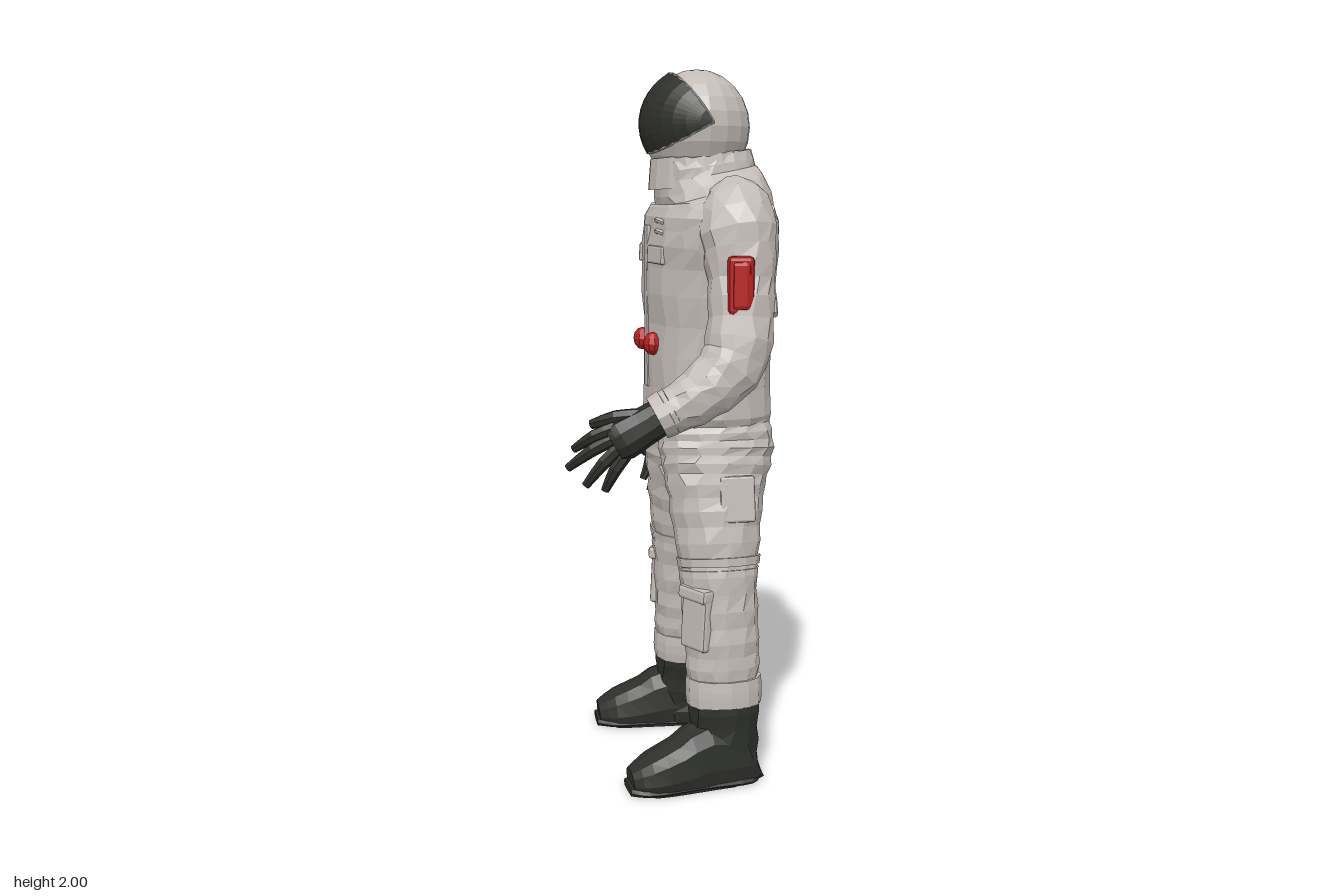
import * as THREE from 'three';
import { RoundedBoxGeometry } from 'three/addons/geometries/RoundedBoxGeometry.js';

const mat = (color) => new THREE.MeshStandardMaterial({ color, flatShading: true, side: THREE.DoubleSide });
const V = (x, y, z) => new THREE.Vector3(x, y, z);
const hash = (i, j) => { const s = Math.sin(i * 127.1 + j * 311.7) * 43758.5453; return s - Math.floor(s) - 0.5; };

// Skin over cross-sections [x, y, z, a, b], smoothly interpolated along the rows
function loft(rows, { n = 12, sides = 12, ref = V(0, 0, 1), power = 1, wrinkle = 0, floor = -1 } = {}) {
  const path = new THREE.CatmullRomCurve3(rows.map((r) => V(r[0], r[1], r[2])), false, 'catmullrom');
  const size = new THREE.CatmullRomCurve3(rows.map((r) => V(r[3], r[4], 0)), false, 'catmullrom');
  const pos = [], idx = [];
  for (let i = 0; i <= n; i++) {
    const p = path.getPoint(i / n), s = size.getPoint(i / n), t = path.getTangent(i / n);
    const u = ref.clone().cross(t).normalize(), v = t.clone().cross(u);
    const band = i % 2 ? wrinkle : -wrinkle;
    for (let j = 0; j < sides; j++) {
      const ang = ((j + (wrinkle ? 0.5 * hash(i + 9, j) : 0)) / sides) * Math.PI * 2, c = Math.cos(ang), d = Math.sin(ang);
      const k = 1 + band + wrinkle * 1.5 * hash(i, j);
      const q = p.clone()
        .addScaledVector(u, s.x * k * Math.sign(c) * Math.abs(c) ** power)
        .addScaledVector(v, s.y * k * Math.sign(d) * Math.abs(d) ** power);
      pos.push(q.x, Math.max(q.y, floor), q.z);
    }
  }
  const ends = [path.getPoint(0), path.getPoint(1)];
  ends.forEach((e) => pos.push(e.x, Math.max(e.y, floor), e.z));
  const c0 = (n + 1) * sides, top = n * sides;
  for (let j = 0; j < sides; j++) {
    const k = (j + 1) % sides;
    for (let i = 0; i < n; i++) {
      const a = i * sides + j, b = i * sides + k;
      idx.push(a, b, b + sides, a, b + sides, a + sides);
    }
    idx.push(c0, k, j, c0 + 1, top + j, top + k);
  }
  const g = new THREE.BufferGeometry();
  g.setAttribute('position', new THREE.Float32BufferAttribute(pos, 3));
  g.setIndex(idx);
  g.computeVertexNormals();
  return g;
}

export function createModel() {
  const suit = mat(0xc2bbb6), dark = mat(0x2d2f2a), red = mat(0xb8201f);
  const root = new THREE.Group();
  const YAW = -1.233;
  const body = new THREE.Group();
  body.name = 'body';
  body.position.set(0.08, 0, -0.04);
  body.rotation.y = YAW;
  root.add(body);

  const add = (parent, name, geo, m, p = [0, 0, 0], r = [0, 0, 0]) => {
    const mesh = new THREE.Mesh(geo, m);
    mesh.name = name;
    mesh.position.set(...p);
    mesh.rotation.set(...r);
    parent.add(mesh);
    return mesh;
  };
  const box = (w, h, d, r = 0.01) => new RoundedBoxGeometry(w, h, d, 1, r);

  // Torso, from crotch to neck
  add(body, 'torso', loft([
    [0, 0.91, 0, 0.05, 0.1], [0, 0.96, 0, 0.17, 0.16], [0, 1.04, 0, 0.23, 0.178],
    [0, 1.25, 0, 0.228, 0.174], [0, 1.45, -0.005, 0.25, 0.185], [0, 1.57, -0.01, 0.278, 0.178],
    [0, 1.645, -0.01, 0.25, 0.158], [0, 1.7, 0.005, 0.165, 0.145], [0, 1.76, 0.015, 0.142, 0.138],
  ], { n: 20, sides: 18, power: 0.82, wrinkle: 0.009 }), suit);

  // Collar rings and helmet
  [[1.705, 0.155], [1.745, 0.152]].forEach(([y, r]) =>
    add(body, 'collarRing', new THREE.CylinderGeometry(r - 0.008, r, 0.045, 18), suit, [0, y, 0.016], [0.1, 0, 0]));
  const helmet = add(body, 'helmet', new THREE.SphereGeometry(0.16, 18, 12), suit, [0, 1.84, 0.03]);
  helmet.scale.set(1.05, 1, 0.94);

  // Visor: a wedge of a sphere hinged at both sides of the helmet
  const visor = new THREE.Group();
  visor.name = 'visorAssembly';
  visor.position.set(0, 1.85, 0.022);
  visor.scale.set(1.04, 0.97, 1.02);
  body.add(visor);
  const EDGES = [0.54, 2.1];
  const shield = new THREE.SphereGeometry(0.168, 10, 14, EDGES[0], EDGES[1] - EDGES[0]);
  shield.rotateZ(-Math.PI / 2);
  add(visor, 'visor', shield, dark);
  for (const e of EDGES) {
    const pts = [];
    for (let i = 0; i <= 12; i++) {
      const a = (i / 12) * Math.PI, s = 0.165 * Math.sin(a);
      pts.push(V(0.165 * Math.cos(a), s * Math.cos(e), s * Math.sin(e)));
    }
    add(visor, 'visorRim', new THREE.TubeGeometry(new THREE.CatmullRomCurve3(pts), 16, 0.004, 5), suit);
  }

  // Chest: valves, pocket flaps, centre placket and hose fitting
  for (const s of [-1, 1]) {
    const valve = add(body, 'chestValve', new THREE.SphereGeometry(0.033, 10, 6), red, [s * 0.072, 1.24, 0.173]);
    valve.scale.z = 0.8;
    add(body, 'chestFlap', box(0.1, 0.05, 0.02, 0.006), suit, [s * 0.1, 1.49, 0.166], [-0.05, s * 0.2, 0]);
  }
  add(body, 'frontPlacket', box(0.04, 0.46, 0.014, 0.005), suit, [0, 1.34, 0.172]);
  [0, 0.03].forEach((dy) =>
    add(body, 'hoseFitting', new THREE.TorusGeometry(0.018, 0.007, 5, 10), suit, [0.11, 1.55 + dy, 0.152], [1.2, 0, 0]));
  add(body, 'backFlap', box(0.13, 0.04, 0.016, 0.006), suit, [0, 1.01, -0.168], [0.08, 0, 0]);

  // Crossed straps following the curve of the back
  for (const s of [-1, 1]) {
    const rows = [];
    for (let i = 0; i <= 6; i++) {
      const x = s * (-0.19 + i * 0.054), y = 1.62 - i * 0.05;
      const depth = (y > 1.57 ? 0.176 : 0.184) * (1 - Math.abs(x / 0.265) ** 2.5) ** 0.4;
      rows.push([x, y, -depth, 0.013, 0.006]);
    }
    add(body, 'backStrap', loft(rows, { n: 10, sides: 6 }), suit);
  }

  // Legs and boots, mirrored
  for (const s of [-1, 1]) {
    add(body, 'leg', loft([
      [s * 0.225, 0.24, 0, 0.085, 0.1], [s * 0.213, 0.4, 0.004, 0.094, 0.106], [s * 0.188, 0.62, 0.008, 0.102, 0.112],
      [s * 0.148, 0.82, 0.006, 0.113, 0.138], [s * 0.122, 0.95, 0, 0.114, 0.164], [s * 0.112, 1.06, 0, 0.1, 0.15],
    ], { n: 24, sides: 14, power: 0.9, wrinkle: 0.018 }), suit);
    add(body, 'trouserCuff', loft([
      [s * 0.228, 0.225, 0, 0.093, 0.106], [s * 0.224, 0.265, 0, 0.096, 0.109], [s * 0.222, 0.305, 0, 0.093, 0.106],
    ], { n: 3, sides: 14, power: 0.9 }), suit);
    add(body, 'kneeBand', loft([
      [s * 0.194, 0.61, 0.008, 0.103, 0.114], [s * 0.188, 0.645, 0.008, 0.106, 0.119],
    ], { n: 2, sides: 14, power: 0.9 }), suit);
    add(body, 'legPocket', box(0.1, 0.17, 0.04), suit, [s * 0.25, 0.48, 0.082], [-0.05, s * 0.5, 0]);
    add(body, 'pocketFlap', box(0.11, 0.04, 0.05), suit, [s * 0.248, 0.555, 0.084], [-0.05, s * 0.5, 0]);
    add(body, 'thighPocket', box(0.016, 0.13, 0.1, 0.007), suit, [s * 0.254, 0.82, -0.03], [0, 0, s * 0.15]);
    add(body, 'bootShaft', loft([
      [s * 0.242, 0.02, -0.003, 0.077, 0.09], [s * 0.237, 0.12, 0.0, 0.078, 0.097], [s * 0.228, 0.25, 0, 0.087, 0.104],
    ], { n: 6, sides: 12, wrinkle: 0.015, power: 0.85 }), dark);
    add(body, 'bootFoot', loft([
      [s * 0.238, 0.07, -0.08, 0.05, 0.06], [s * 0.24, 0.06, -0.053, 0.073, 0.09], [s * 0.25, 0.06, 0.05, 0.077, 0.13],
      [s * 0.261, 0.045, 0.14, 0.08, 0.095], [s * 0.27, 0.035, 0.225, 0.078, 0.065], [s * 0.273, 0.03, 0.28, 0.048, 0.035],
    ], { n: 10, sides: 12, ref: V(0, 1, 0), power: 0.8, floor: 0 }), dark);
    add(body, 'bootSole', loft([
      [s * 0.239, 0.012, -0.084, 0.053, 0.012], [s * 0.242, 0.012, -0.048, 0.077, 0.012], [s * 0.254, 0.012, 0.08, 0.075, 0.012],
      [s * 0.27, 0.012, 0.225, 0.08, 0.012], [s * 0.273, 0.012, 0.288, 0.048, 0.012],
    ], { n: 10, sides: 8, ref: V(0, 1, 0), power: 0.5, floor: 0 }), dark);
  }

  // Arm: sleeve, wrist cuff, red patch on the upper arm
  function arm(name, rows, patch, turn) {
    const g = new THREE.Group();
    g.name = name;
    root.add(g);
    add(g, 'sleeve', loft(rows, { n: 20, sides: 12, wrinkle: 0.02 }), suit);
    const [p, q] = rows.slice(-2);
    const mix = (t, k) => p.map((v, i) => (v + (q[i] - v) * t) * (i > 2 ? k : 1));
    add(g, 'wristCuff', loft([mix(0.65, 1.05), mix(1.03, 1.08)], { n: 2, sides: 12 }), suit);
    add(g, 'armPatch', box(0.07, 0.155, 0.04, 0.012), red, patch, [0, turn, 0]);
    add(g, 'patchCentre', box(0.05, 0.13, 0.052, 0.012), red, patch, [0, turn, 0]);
    return g;
  }

  // Glove: palm plus four curled fingers fanned along an axis, and a thumb
  function glove(g, wrist, knuckles, across, curl, tips, thumb) {
    const w = V(...wrist), k = V(...knuckles), a = V(...across).normalize();
    const row = (p, x, y) => [p.x, p.y, p.z, x, y];
    add(g, 'palm', loft([row(w, 0.05, 0.046), row(w.clone().lerp(k, 0.4), 0.053, 0.044),
      row(w.clone().lerp(k, 0.8), 0.058, 0.042), row(k, 0.05, 0.032)], { n: 6, sides: 10 }), dark);
    const digit = (name, base, tip, r) => {
      const mid = base.clone().lerp(tip, 0.5).add(V(...curl));
      add(g, name, loft([row(base, r, r), row(mid, r * 0.95, r * 0.95), row(tip, r * 0.6, r * 0.6)], { n: 4, sides: 7 }), dark);
    };
    tips.forEach((t, i) =>
      digit('finger', k.clone().lerp(w, 0.15).addScaledVector(a, (1.5 - i) * 0.025), V(...t), 0.019));
    digit('thumb', w.clone().lerp(k, 0.35).addScaledVector(a, 0.03), V(...thumb), 0.022);
  }

  // Left arm bent forward, right arm hanging
  const left = arm('leftArm', [
    [0.14, 1.64, 0.08, 0.085, 0.06], [0.18, 1.585, 0.18, 0.108, 0.092], [0.2, 1.43, 0.218, 0.092, 0.08],
    [0.19, 1.23, 0.266, 0.09, 0.078], [0.1, 1.13, 0.308, 0.075, 0.068], [-0.01, 1.07, 0.335, 0.057, 0.056],
  ], [0.205, 1.42, 0.293], YAW + Math.PI / 2 - 0.1);
  glove(left, [0, 1.075, 0.337], [-0.125, 1.0, 0.368], [-0.4, 0.9, 0.15], [0, 0.008, 0.01],
    [[-0.235, 0.985, 0.365], [-0.25, 0.935, 0.375], [-0.2, 0.89, 0.385], [-0.15, 0.875, 0.37]], [-0.19, 1.05, 0.345]);

  const right = arm('rightArm', [
    [0.02, 1.64, -0.17, 0.085, 0.06], [0, 1.585, -0.26, 0.105, 0.092], [-0.005, 1.43, -0.31, 0.09, 0.08],
    [0.005, 1.22, -0.337, 0.085, 0.067], [-0.02, 1.1, -0.344, 0.072, 0.065], [-0.05, 0.97, -0.347, 0.06, 0.06],
  ], [-0.048, 1.42, -0.36], 0.6);
  glove(right, [-0.045, 0.98, -0.345], [-0.095, 0.85, -0.352], [-1, -0.35, 0.3], [0.005, 0, -0.012],
    [[-0.15, 0.76, -0.34], [-0.13, 0.72, -0.355], [-0.105, 0.71, -0.365], [-0.08, 0.75, -0.375]], [-0.145, 0.85, -0.305]);

  return root;
}
